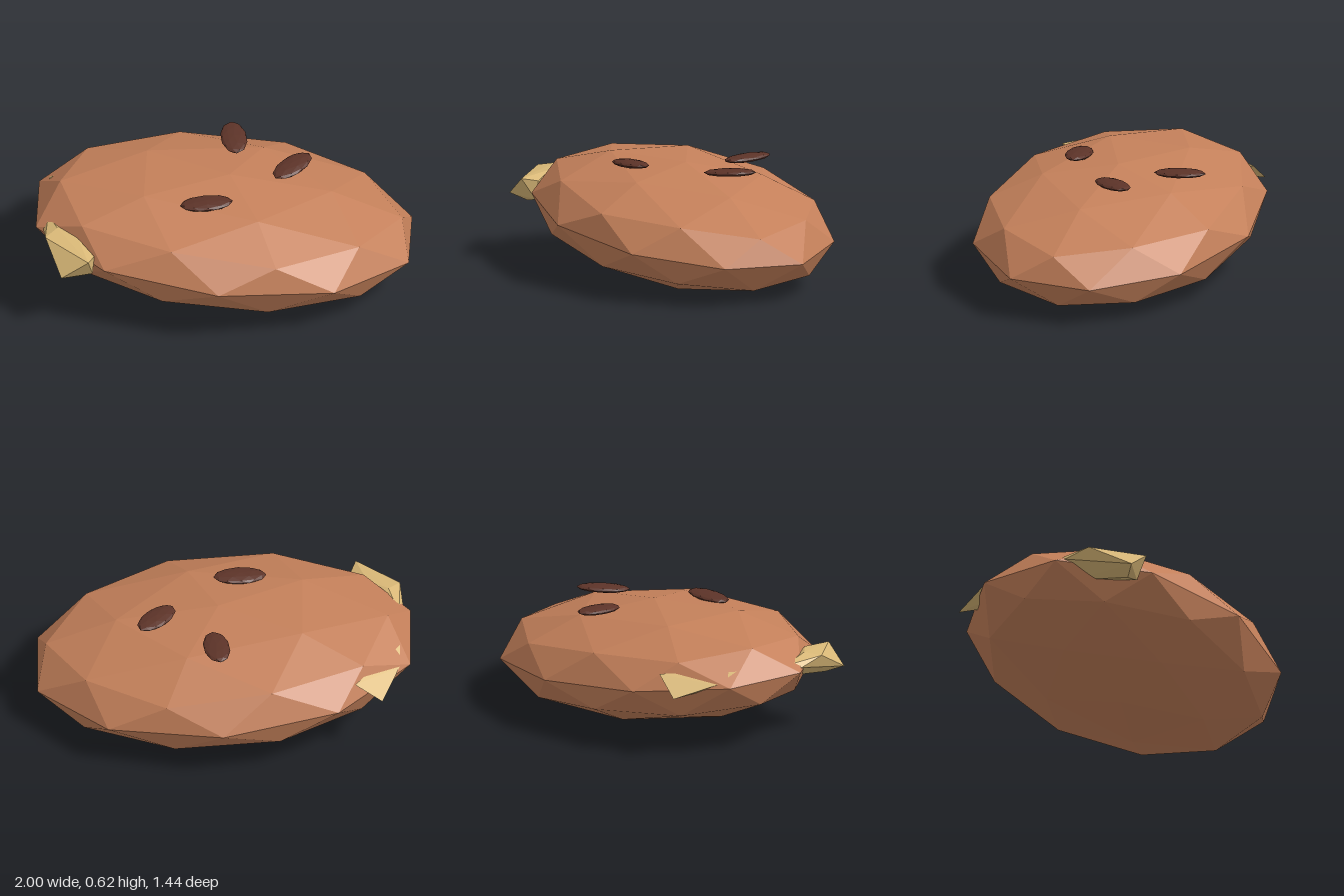
import * as THREE from 'three';
import { ConvexGeometry } from 'three/addons/geometries/ConvexGeometry.js';

const flat = (color) => new THREE.MeshStandardMaterial({ color, flatShading: true });
const v = (p) => new THREE.Vector3(...p);

// Faceted ball with a vertex straight up, so its widest ring is a flat decagon
function facetedBall() {
  const geometry = new THREE.IcosahedronGeometry(1, 1);
  return geometry.rotateX(-Math.atan((1 + Math.sqrt(5)) / 2));
}

export function createModel() {
  const model = new THREE.Group();
  const add = (name, geometry, material) => {
    geometry.computeVertexNormals();
    const mesh = new THREE.Mesh(geometry, material);
    mesh.name = name;
    model.add(mesh);
    return mesh;
  };

  // Body: the ball squashed and tilted along three skewed axes
  const bodyMatrix = new THREE.Matrix4()
    .makeBasis(v([1, -0.095, -0.08]), v([0.03, 0.3, 0.002]), v([0.211, -0.01, 0.73]))
    .setPosition(0, 0.302, 0);
  add('body', facetedBall().applyMatrix4(bodyMatrix), flat(0xc4805a));

  // Dark oval spots resting on top, each turned a different way
  const spotMaterial = flat(0x5c3328);
  const spots = [
    [0.09, -0.345, Math.PI / 2],
    [0.365, -0.05, Math.PI / 4],
    [-0.12, 0.25, 0],
  ];
  for (const [x, z, turn] of spots) {
    const spot = add('spot', facetedBall().scale(0.14, 0.02, 0.07), spotMaterial);
    spot.position.set(x, 0.596, z);
    spot.rotation.set(0, turn, 0.04);
  }

  // Pale angular chips sunk into the right edge
  const chipMaterial = flat(0xd9b877);
  const frontChip = [
    [-0.97, 0.45, 0.26], [-0.91, 0.335, 0.48], [-0.77, 0.435, 0.5],
    [-0.73, 0.42, 0.42], [-0.74, 0.32, 0.43], [-0.83, 0.3, 0.42],
    [-0.9, 0.465, 0.2], [-0.8, 0.455, 0.3], [-0.93, 0.43, 0.03],
    [-0.965, 0.41, 0.12], [-0.85, 0.34, 0.12],
  ];
  const backChip = [
    [-0.61, 0.44, -0.57], [-0.75, 0.337, -0.6], [-0.89, 0.453, -0.28],
    [-0.87, 0.4, -0.4], [-0.7, 0.35, -0.4], [-0.8, 0.36, -0.35],
  ];
  add('frontChip', new ConvexGeometry(frontChip.map(v)), chipMaterial);
  add('backChip', new ConvexGeometry(backChip.map(v)), chipMaterial);

  return model;
}
